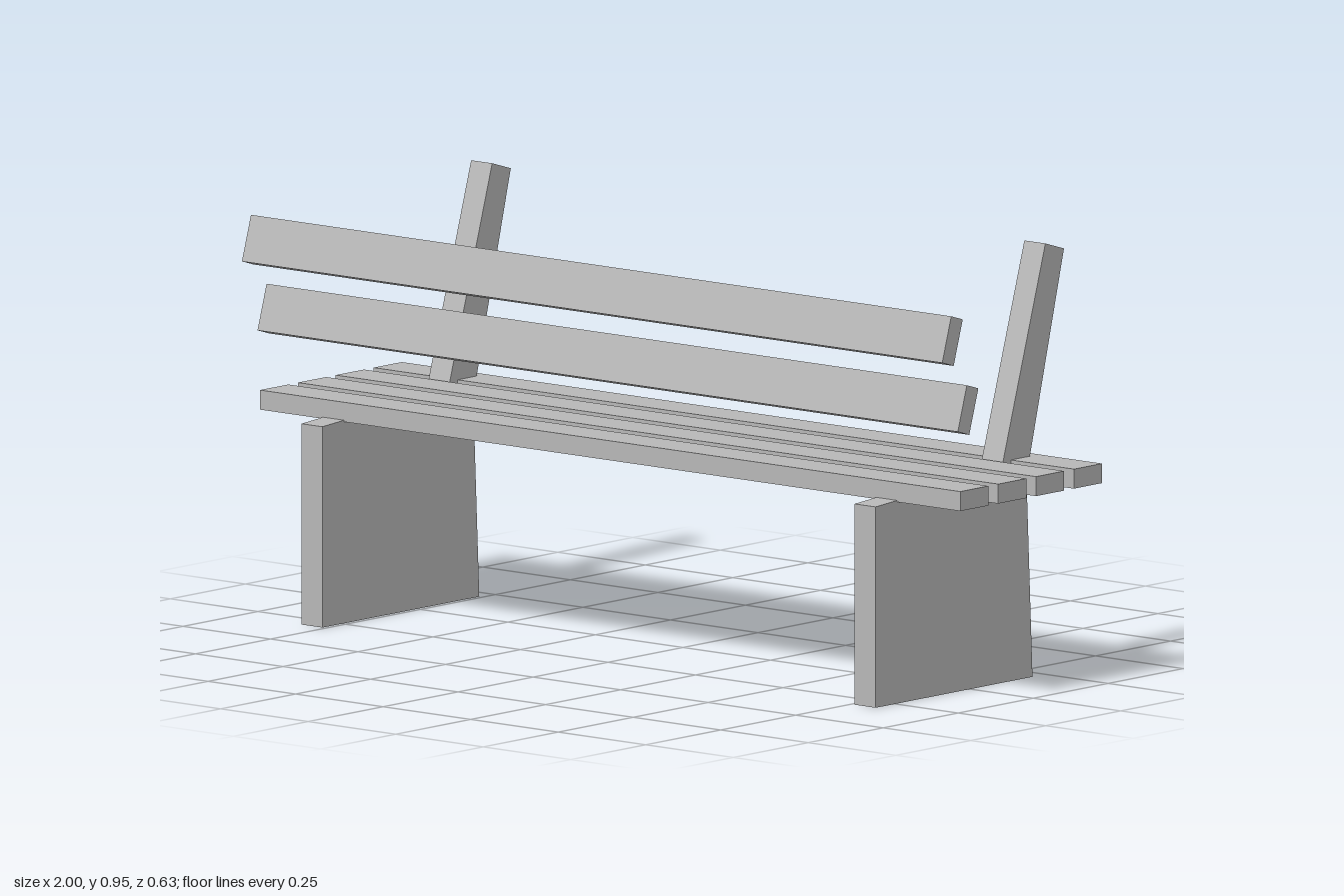
import * as THREE from 'three';

export function createModel() {
  const bench = new THREE.Group();
  bench.name = 'bench';
  const grey = new THREE.MeshStandardMaterial({ color: 0xb8b8b8 });
  grey.name = 'plain grey';

  const add = (name, geometry, x, y, z, tilt = 0) => {
    const mesh = new THREE.Mesh(geometry, grey);
    mesh.name = name;
    mesh.position.set(x, y, z);
    mesh.rotation.x = tilt;
    bench.add(mesh);
  };

  // Side supports: slab leg and leaning post in one profile, given as (z, y)
  const profile = [
    [0.315, 0], [0.315, 0.442], [-0.105, 0.471], [-0.251, 0.948],
    [-0.313, 0.929], [-0.188, 0.442], [-0.208, 0],
  ].map(([z, y]) => new THREE.Vector2(z, y));
  const support = new THREE.ExtrudeGeometry(new THREE.Shape(profile), { depth: 0.06, bevelEnabled: false });
  support.translate(0, 0, -0.03);
  support.rotateY(-Math.PI / 2);
  add('leftSupport', support, 0.79, 0, 0);
  add('rightSupport', support, -0.79, 0, 0);

  // Four flat seat slats
  const seatSlat = new THREE.BoxGeometry(2, 0.043, 0.094);
  for (let i = 0; i < 4; i++) add(`seatSlat${i + 1}`, seatSlat, 0, 0.465, 0.196 - i * 0.1263);

  // Two tilted backrest slats
  const backSlat = new THREE.BoxGeometry(2, 0.103, 0.04);
  add('lowerBackSlat', backSlat, 0, 0.6625, 0.217, -0.298);
  add('upperBackSlat', backSlat, 0, 0.821, 0.269, -0.298);

  return bench;
}
